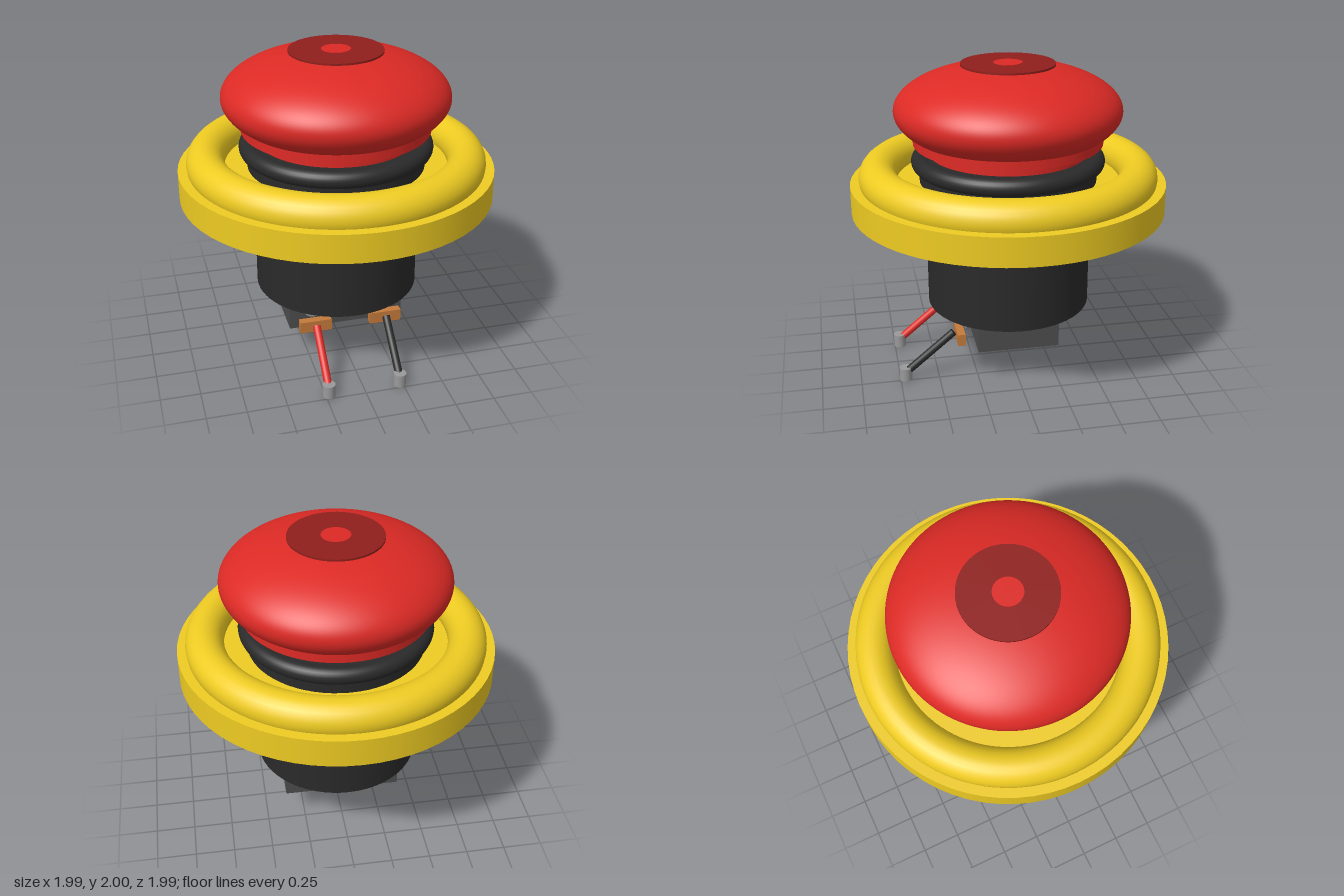
import * as THREE from 'three';

const mat = (color, side = THREE.FrontSide) => new THREE.MeshStandardMaterial({ color, side });

export function createModel() {
  const model = new THREE.Group();
  const red = mat(0xdd2a25), darkRed = mat(0x8f1f1c), yellow = mat(0xeecb22);
  const black = mat(0x2a2a2a), darkGrey = mat(0x4d4d4d), metal = mat(0x999999), copper = mat(0xc47a3c);

  const add = (name, geometry, material, parent = model) => {
    const mesh = new THREE.Mesh(geometry, material);
    mesh.name = name;
    parent.add(mesh);
    return mesh;
  };
  // Upright disc or cylinder between two heights
  const disc = (name, r, y0, y1, material, parent = model) => {
    const mesh = add(name, new THREE.CylinderGeometry(r, r, y1 - y0, 64), material, parent);
    mesh.position.y = (y0 + y1) / 2;
    return mesh;
  };
  const ring = (name, r, tube, y, material) => {
    const mesh = add(name, new THREE.TorusGeometry(r, tube, 24, 96), material);
    mesh.rotation.x = Math.PI / 2;
    mesh.position.y = y;
  };

  // Contact block, body and flange
  add('contactBlock', new THREE.BoxGeometry(0.75, 0.22, 0.52), darkGrey).position.y = 0.335;
  disc('body', 0.525, 0.43, 1.02, black);
  disc('flange', 0.647, 1.01, 1.08, black);

  // Yellow base plate with its rounded guard ring
  disc('basePlate', 0.995, 1.075, 1.257, yellow);
  ring('guardRing', 0.82, 0.12, 1.293, yellow);

  // Black seal and the stem inside it
  disc('sealBase', 0.56, 1.25, 1.435, black);
  ring('seal', 0.555, 0.055, 1.385, black);
  disc('stem', 0.5, 1.42, 1.51, red);
  disc('collar', 0.595, 1.5, 1.56, red);

  // Mushroom head: an ellipse profile, cut off where it meets the collar
  const profile = [];
  for (let i = 0; i <= 40; i++) {
    const a = THREE.MathUtils.lerp(-0.6, Math.PI / 2, i / 40);
    profile.push(new THREE.Vector2(Math.max(0, 0.71 * Math.cos(a)), 1.71 + 0.283 * Math.sin(a)));
  }
  add('buttonHead', new THREE.LatheGeometry(profile, 96), red);
  disc('topInset', 0.293, 1.985, 1.997, darkRed);
  disc('topCentre', 0.09, 1.99, 2.0, red);

  // Two terminals, each with screw, copper tab, wire and ferrule
  for (const [side, x, wireColor] of [['right', -0.23, red], ['left', 0.23, black]]) {
    const terminal = new THREE.Group();
    terminal.name = side + 'Terminal';
    terminal.position.x = x;
    model.add(terminal);

    for (const [name, r, z0, z1] of [['screw', 0.075, 0.24, 0.325], ['screwHead', 0.055, 0.32, 0.35]]) {
      const screw = add(name, new THREE.CylinderGeometry(r, r, z1 - z0, 32), metal, terminal);
      screw.rotation.x = Math.PI / 2;
      screw.position.set(0, 0.41, (z0 + z1) / 2);
    }
    add('tab', new THREE.BoxGeometry(0.205, 0.077, 0.05), copper, terminal).position.set(0, 0.298, 0.36);

    const from = new THREE.Vector3(0, 0.31, 0.4), to = new THREE.Vector3(0, 0.055, 0.705);
    const wire = add('wire', new THREE.CylinderGeometry(0.025, 0.025, from.distanceTo(to), 20), wireColor, terminal);
    wire.position.copy(from).lerp(to, 0.5);
    wire.quaternion.setFromUnitVectors(new THREE.Vector3(0, 1, 0), to.clone().sub(from).normalize());

    const ferrule = add('ferrule', new THREE.CylinderGeometry(0.04, 0.04, 0.085, 24), metal, terminal);
    ferrule.position.set(0, 0.0425, 0.715);
  }
  return model;
}
